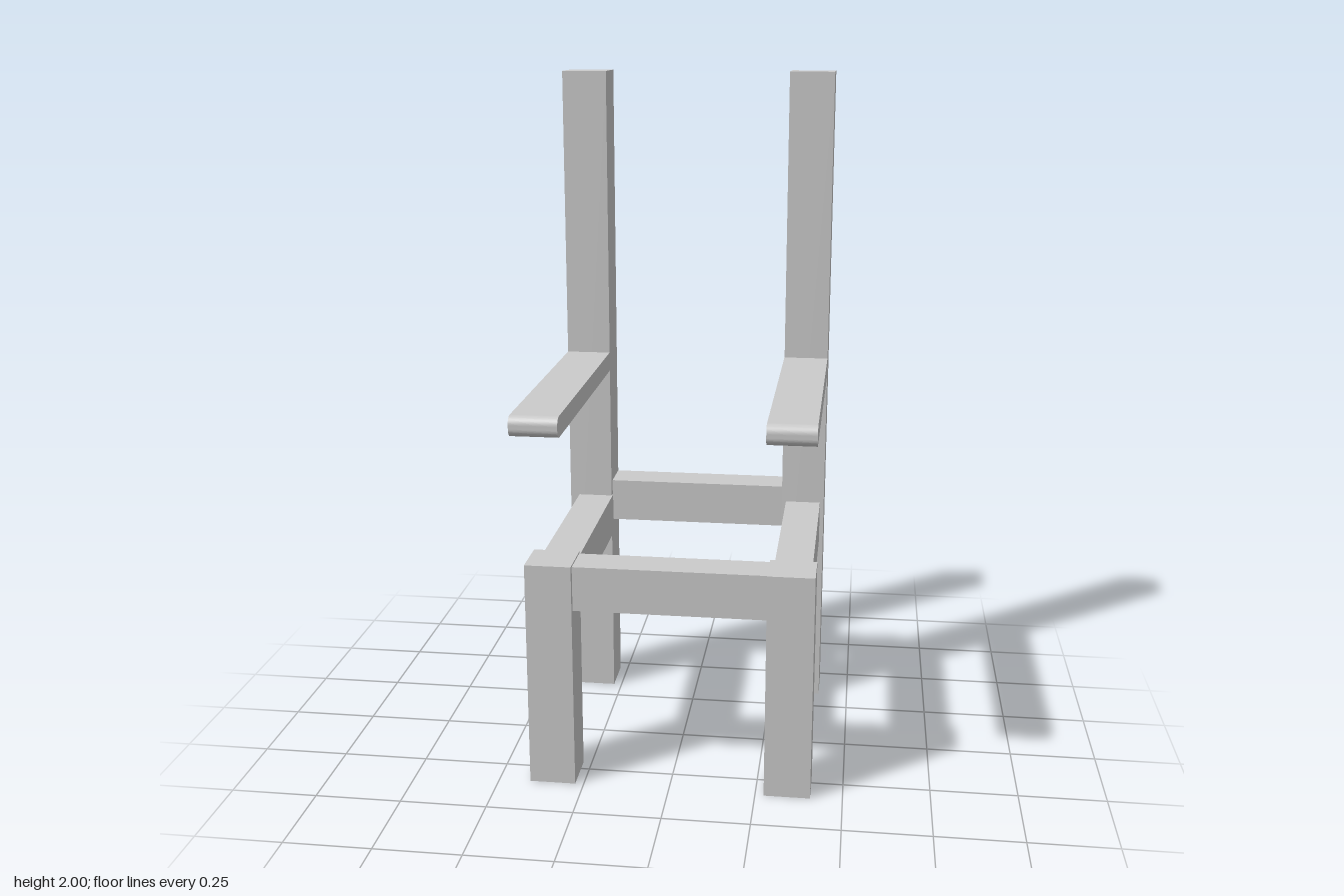
import * as THREE from 'three';

const material = new THREE.MeshStandardMaterial({ color: 0xcccccc });

// Box given by its limits on each axis
function bar(name, [x0, x1], [y0, y1], [z0, z1]) {
  const mesh = new THREE.Mesh(new THREE.BoxGeometry(x1 - x0, y1 - y0, z1 - z0), material);
  mesh.position.set((x0 + x1) / 2, (y0 + y1) / 2, (z0 + z1) / 2);
  mesh.name = name;
  return mesh;
}

// Flat arm with a rounded front edge: side profile extruded across its width
function armrest(name, [x0, x1]) {
  const back = -0.33, front = 0.47, low = 1.08, high = 1.138, r = 0.024;
  const profile = new THREE.Shape();
  profile.moveTo(-back, low);
  profile.lineTo(-back, high);
  profile.lineTo(-front + r, high);
  profile.absarc(-front + r, high - r, r, Math.PI / 2, Math.PI, false);
  profile.absarc(-front + r, low + r, r, Math.PI, Math.PI * 1.5, false);
  profile.closePath();
  const geometry = new THREE.ExtrudeGeometry(profile, {
    depth: x1 - x0, bevelEnabled: false, curveSegments: 8,
  });
  geometry.rotateY(Math.PI / 2); // profile x becomes -z, depth becomes +x
  geometry.translate(x0, 0, 0);
  const mesh = new THREE.Mesh(geometry, material);
  mesh.name = name;
  return mesh;
}

export function createModel() {
  const chair = new THREE.Group();
  chair.name = 'chair';

  // Each side: tall back post, short front leg, seat rail and armrest.
  // The right post and rail sit slightly off from the left ones.
  const sides = [
    { side: 'left', x: [0.275, 0.408], post: [-0.47, -0.34], rail: [0.288, 0.396] },
    { side: 'right', x: [-0.408, -0.275], post: [-0.462, -0.33], rail: [-0.38, -0.272] },
  ];
  for (const { side, x, post, rail } of sides) {
    chair.add(
      bar(`${side}BackPost`, x, [0, 2], post),
      bar(`${side}FrontLeg`, x, [0, 0.672], [0.21, 0.34]),
      bar(`${side}SeatRail`, rail, [0.535, 0.665], [-0.342, 0.212]),
      armrest(`${side}Armrest`, x),
    );
  }

  // Cross rails, the back one a little higher
  chair.add(
    bar('frontSeatRail', [-0.277, 0.277], [0.535, 0.667], [0.214, 0.324]),
    bar('backSeatRail', [-0.277, 0.277], [0.578, 0.71], [-0.461, -0.352]),
  );
  return chair;
}
